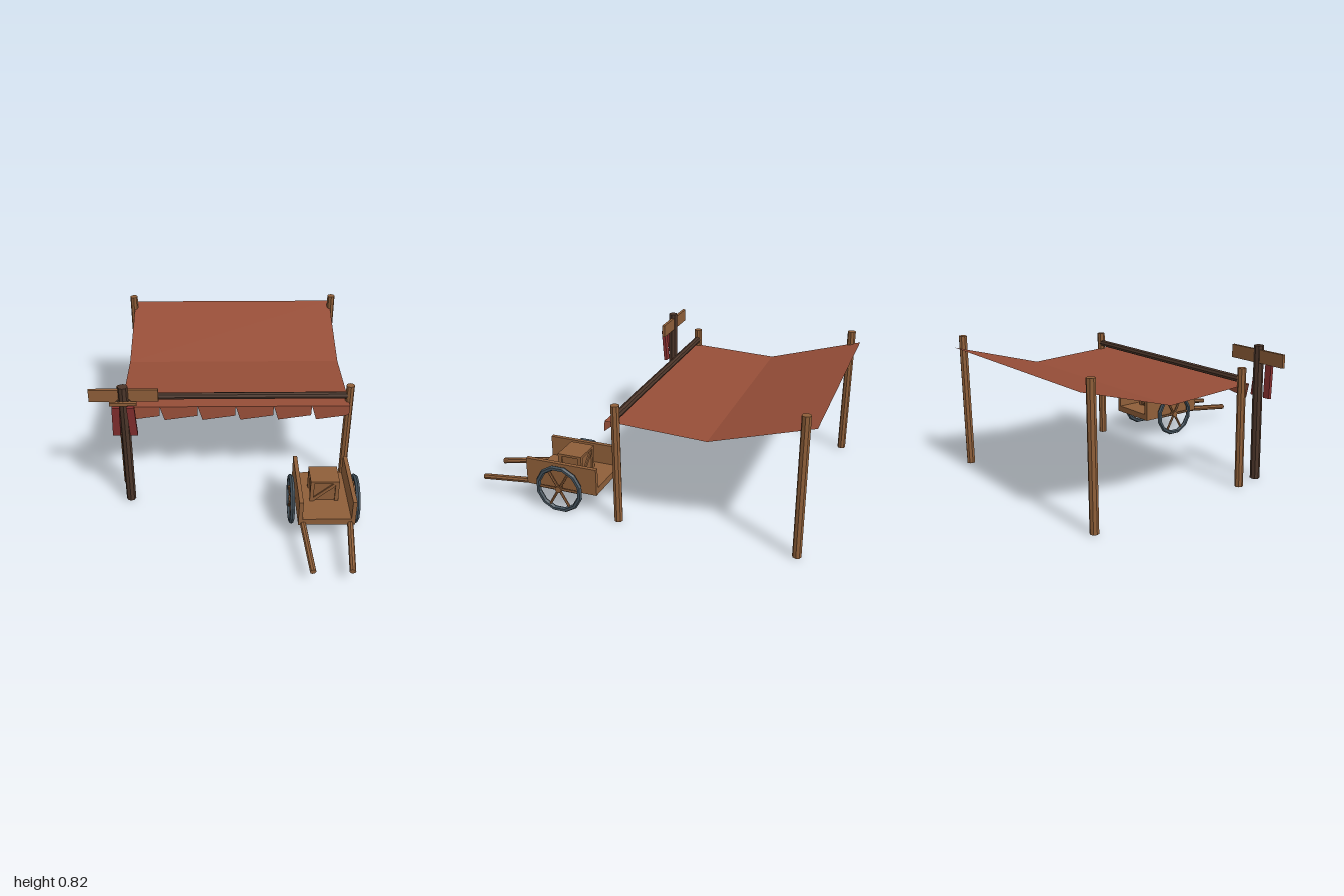
import * as THREE from 'three';

const mat = (name, color, side = THREE.FrontSide) => {
  const m = new THREE.MeshStandardMaterial({ color, side, flatShading: true });
  m.name = name;
  return m;
};

export function createModel() {
  const wood = mat('wood', 0x8f5f39);
  const darkWood = mat('darkWood', 0x4b3529);
  const cloth = mat('awningCloth', 0x964e38, THREE.DoubleSide);
  const red = mat('redCloth', 0x86302f);
  const iron = mat('wheelRim', 0x42505a);

  const root = new THREE.Group();
  root.name = 'marketStall';

  const group = (name, parent = root) => {
    const g = new THREE.Group();
    g.name = name;
    parent.add(g);
    return g;
  };
  const add = (parent, name, geo, m, x = 0, y = 0, z = 0) => {
    const mesh = new THREE.Mesh(geo, m);
    mesh.name = name;
    mesh.position.set(x, y, z);
    parent.add(mesh);
    return mesh;
  };
  const box = (parent, name, m, w, h, d, x, y, z) =>
    add(parent, name, new THREE.BoxGeometry(w, h, d), m, x, y, z);
  // Round pole between two points
  const pole = (parent, name, m, a, b, r, sides = 8, r2 = r) => {
    const p = new THREE.Vector3(...a), q = new THREE.Vector3(...b);
    const dir = q.clone().sub(p);
    const mesh = add(parent, name, new THREE.CylinderGeometry(r2, r, dir.length(), sides), m);
    mesh.position.copy(p).add(q).multiplyScalar(0.5);
    mesh.quaternion.setFromUnitVectors(new THREE.Vector3(0, 1, 0), dir.normalize());
    return mesh;
  };

  // Awning frame
  const awning = group('awning');
  const x0 = -0.617, x1 = 0.747;
  for (const x of [-0.62, 0.75]) {
    pole(awning, 'frontPost', wood, [x, 0.01, 0.09], [x, 0.72, 0.09], 0.025);
    pole(awning, 'backPost', wood, [x, 0.01, -0.937], [x, 0.825, -0.937], 0.025);
  }
  pole(awning, 'frontBeam', darkWood, [x0, 0.653, 0.09], [x1, 0.653, 0.09], 0.021);

  // Sagging sheet: one strip from the back edge through the fold to the front edge
  const sheet = new THREE.PlaneGeometry(x1 - x0, 1, 1, 2);
  const profile = [[-0.995, 0.76], [-0.43, 0.592], [0.155, 0.617]];
  const pos = sheet.attributes.position;
  for (let i = 0; i < pos.count; i++) {
    const [z, y] = profile[Math.floor(i / 2)];
    pos.setXYZ(i, i % 2 ? x1 : x0, y, z);
  }
  sheet.computeVertexNormals();
  add(awning, 'awningSheet', sheet, cloth);

  // Ragged front flaps
  const w = (x1 - x0) / 6;
  const flap = new THREE.Shape([[0, 0], [0.028, -0.09], [w - 0.003, -0.062], [w, 0]]
    .map(([x, y]) => new THREE.Vector2(x, y)));
  for (let i = 0; i < 6; i++) {
    const f = add(awning, 'awningFlap', new THREE.ShapeGeometry(flap), cloth, x0 + i * w, 0.617, 0.155);
    f.rotation.x = -0.08;
  }

  // Signpost with board, hanging rail and two red cloths
  const sign = group('signpost');
  pole(sign, 'signPole', darkWood, [-0.585, 0.01, 0.26], [-0.585, 0.823, 0.26], 0.029);
  box(sign, 'signBoard', wood, 0.4, 0.078, 0.018, -0.585, 0.761, 0.252);
  box(sign, 'hangingRail', wood, 0.155, 0.018, 0.02, -0.585, 0.73, 0.297);
  for (const s of [-1, 1]) {
    pole(sign, 'railPeg', darkWood, [-0.585 + s * 0.03, 0.73, 0.262], [-0.585 + s * 0.045, 0.73, 0.295], 0.008, 6);
    const c = box(sign, 'hangingCloth', red, 0.045, 0.205, 0.02, -0.585 + s * 0.046, 0.613, 0.298);
    c.rotation.x = 0.1;
    c.rotation.z = s * 0.04;
  }

  // Handcart
  const cart = group('handcart');
  const cx = 0.58, axleY = 0.155, axleZ = 0.45;
  box(cart, 'cartBed', wood, 0.325, 0.04, 0.44, cx, 0.156, 0.447);
  for (const s of [-1, 1]) {
    box(cart, 'cartSide', wood, 0.024, 0.163, 0.443, cx + s * 0.152, 0.218, 0.4475);
    pole(cart, 'cartHandle', wood, [cx + s * 0.142, 0.15, 0.6], [cx + s * 0.108, 0.088, 0.998], 0.018);

    // Spoked wheel, built facing +z and turned onto the axle
    const wheel = group('wheel', cart);
    wheel.position.set(cx + s * 0.19, axleY - 0.004, axleZ);
    wheel.rotation.y = Math.PI / 2;
    const rim = add(wheel, 'rim', new THREE.TorusGeometry(0.134, 0.015, 6, 12), iron);
    rim.rotation.z = Math.PI / 12;
    for (let k = 0; k < 3; k++) {
      const a = k * Math.PI / 3, c = Math.cos(a) * 0.13, d = Math.sin(a) * 0.13;
      pole(wheel, 'spoke', wood, [-c, -d, 0], [c, d, 0], 0.008, 6);
    }
    pole(wheel, 'hub', wood, [0, 0, -0.013], [0, 0, 0.013], 0.02);
  }
  pole(cart, 'axle', wood, [cx - 0.19, axleY, axleZ], [cx + 0.19, axleY, axleZ], 0.011);

  // Crate with corner battens and a diagonal brace on front and back
  const crate = group('crate', cart);
  crate.position.set(cx, 0.176, 0.43);
  box(crate, 'crateBody', wood, 0.15, 0.135, 0.125, 0, 0.0675, 0);
  box(crate, 'crateLid', wood, 0.168, 0.014, 0.148, 0, 0.135, 0);
  for (const sz of [-1, 1]) {
    for (const sx of [-1, 1])
      box(crate, 'crateBatten', wood, 0.022, 0.13, 0.022, sx * 0.073, 0.065, sz * 0.062);
    const brace = box(crate, 'crateBrace', wood, 0.172, 0.02, 0.012, 0, 0.065, sz * 0.065);
    brace.rotation.z = sz * 0.72;
  }
  return root;
}
